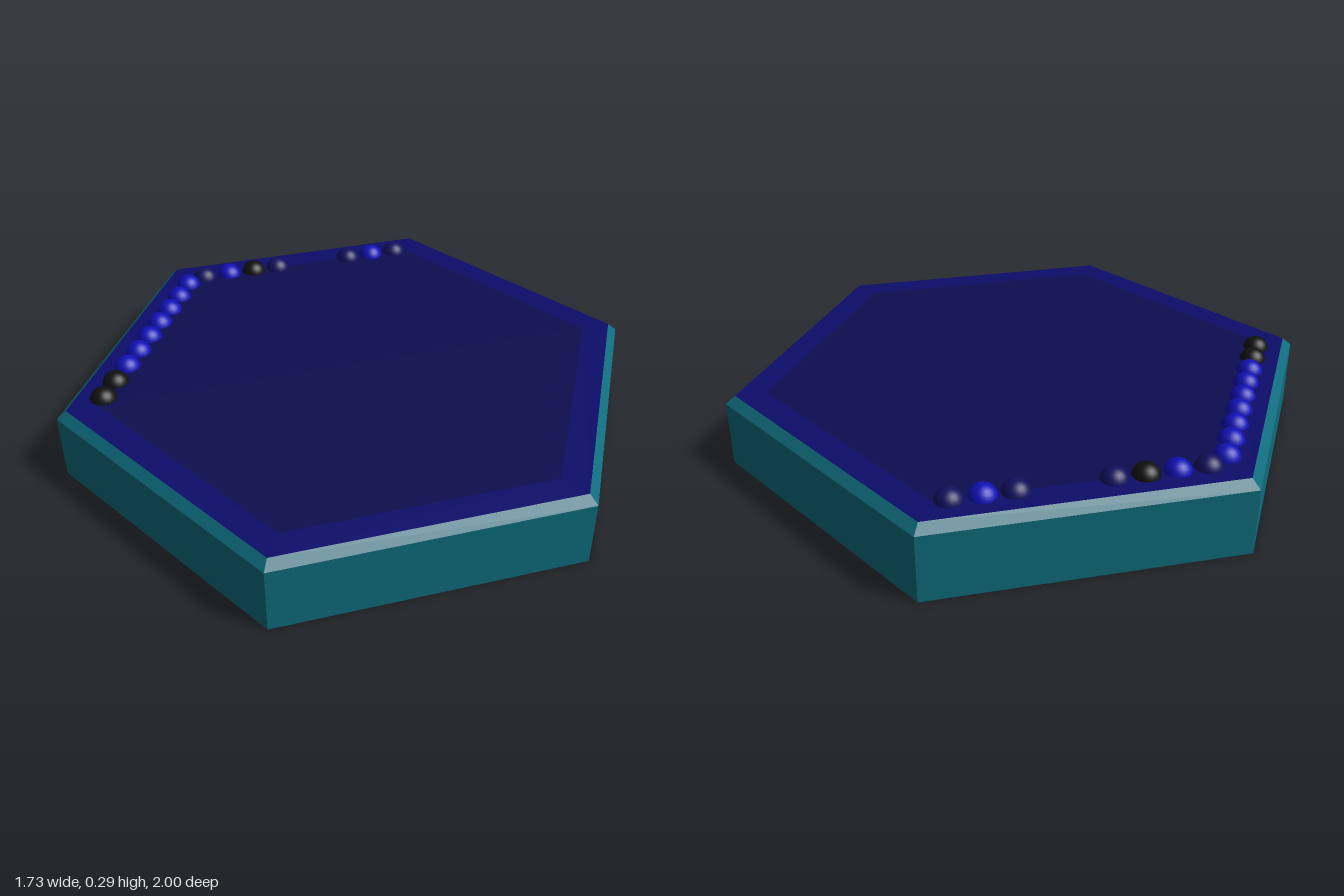
import * as THREE from 'three';

export function createModel() {
  const group = new THREE.Group();
  const material = (name, color) => {
    const m = new THREE.MeshStandardMaterial({ color });
    m.name = name;
    return m;
  };
  const teal = material('teal', 0x0e6b7c);
  const rimBlue = material('rim blue', 0x0c0c6a);
  const navy = material('deep navy', 0x0d0d50);
  const beadColours = {
    b: material('bright blue', 0x1010b8),
    n: material('bead navy', 0x10105e),
    k: material('black', 0x101010),
  };

  const add = (name, geometry, mat) => {
    const mesh = new THREE.Mesh(geometry, mat);
    mesh.name = name;
    group.add(mesh);
    return mesh;
  };

  const top = 0.25, outer = 0.967, inner = 0.866;

  // Hexagonal tray body with a bevelled upper edge, faceted
  const profile = [[0, 0], [1, 0], [1, 0.223], [outer, top]].map(p => new THREE.Vector2(...p));
  const body = new THREE.LatheGeometry(profile, 6).toNonIndexed();
  body.computeVertexNormals();
  add('trayBody', body, teal);

  // Flat top: lighter border band around the dark centre
  const band = new THREE.RingGeometry(inner, outer, 6, 1, Math.PI / 2);
  add('borderBand', band.rotateX(-Math.PI / 2).translate(0, top, 0), rimBlue);
  const centre = new THREE.CircleGeometry(inner, 6, Math.PI / 2);
  add('centrePanel', centre.rotateX(-Math.PI / 2).translate(0, top, 0), navy);

  // Beads sit in nine slots along each of two sides; a dot is an empty slot
  const corner = i => new THREE.Vector3(
    -inner * Math.sin(i * Math.PI / 3), 0.243, -inner * Math.cos(i * Math.PI / 3));
  const beadShape = new THREE.SphereGeometry(0.045, 20, 14);
  ['nbn..nkbn', 'bbbbbbbkk'].forEach((row, side) => {
    [...row].forEach((key, slot) => {
      if (key === '.') return;
      const bead = add('bead', beadShape, beadColours[key]);
      bead.position.lerpVectors(corner(side), corner(side + 1), (slot + 0.5) / 9);
    });
  });

  return group;
}
